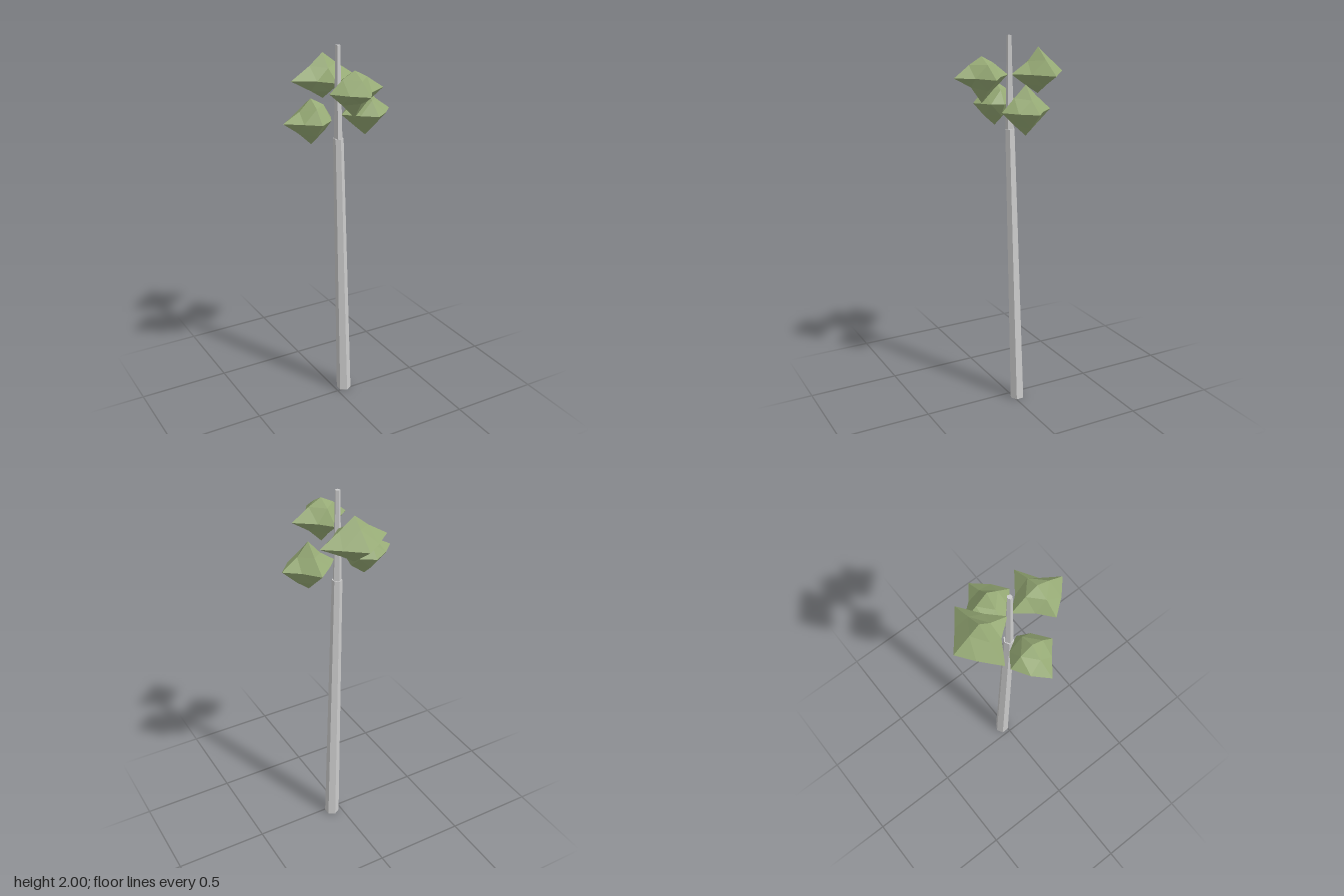
import * as THREE from 'three';

const bark = new THREE.MeshStandardMaterial({ color: 0xcccccc, flatShading: true });
const leaf = new THREE.MeshStandardMaterial({ color: 0x97ab76, flatShading: true });

// Faceted pole whose foot is shifted sideways so that it leans
function pole(name, rTop, rBottom, y0, y1, sides, turn, foot, head) {
  const h = y1 - y0;
  const geo = new THREE.CylinderGeometry(rTop, rBottom, h, sides);
  geo.rotateY(turn).translate(0, (y0 + y1) / 2, 0);
  const p = geo.attributes.position;
  for (let i = 0; i < p.count; i++) {
    const t = (p.getY(i) - y0) / h;
    p.setX(i, p.getX(i) + foot[0] + (head[0] - foot[0]) * t);
    p.setZ(i, p.getZ(i) + foot[1] + (head[1] - foot[1]) * t);
  }
  geo.computeVertexNormals();
  const mesh = new THREE.Mesh(geo, bark);
  mesh.name = name;
  return mesh;
}

// Octahedron split once: tips = reach along +x -x +y -y +z -z,
// mids = offsets of the edge midpoints keyed by their sign pattern
function clump(name, centre, tips, mids) {
  const geo = new THREE.OctahedronGeometry(1, 1);
  const p = geo.attributes.position;
  for (let i = 0; i < p.count; i++) {
    const s = [p.getX(i), p.getY(i), p.getZ(i)].map((v) => (Math.abs(v) < 0.3 ? 0 : Math.sign(v)));
    const key = s.map((v) => '-0+'[v + 1]).join('');
    const axes = [0, 1, 2].filter((k) => s[k] !== 0);
    const v = [0, 0, 0];
    if (axes.length === 1) {
      const k = axes[0];
      v[k] = s[k] * tips[k * 2 + (s[k] < 0 ? 1 : 0)];
    } else {
      const size = mids[key] || [0.068, 0.064];
      axes.forEach((k, n) => { v[k] = s[k] * size[n]; });
    }
    p.setXYZ(i, ...v);
  }
  geo.computeVertexNormals();
  const mesh = new THREE.Mesh(geo, leaf);
  mesh.name = name;
  mesh.position.set(...centre);
  return mesh;
}

export function createModel() {
  const tree = new THREE.Group();
  tree.name = 'tree';

  // Leaning trunk and the slimmer stem above it
  tree.add(pole('trunk', 0.027, 0.04, 0, 1.525, 6, 0, [0.052, -0.022], [0.004, -0.002]));
  tree.add(pole('upperStem', 0.013, 0.023, 1.52, 2, 5, Math.PI, [0.004, -0.002], [0, 0]));

  // Four leaf clumps around the stem
  tree.add(clump('backFoliage', [0.004, 1.805, -0.165], [0.185, 0.182, 0.13, 0.107, 0.155, 0.147], {
    '-0-': [0.085, 0.085], '+0-': [0.1, 0.065], '-0+': [0.068, 0.068], '+0+': [0.075, 0.08],
    '++0': [0.08, 0.07], '-+0': [0.075, 0.068],
    '0++': [0.06, 0.06], '0+-': [0.08, 0.055], '0--': [0.06, 0.065], '0-+': [0.055, 0.08],
  }));
  tree.add(clump('frontFoliage', [0.004, 1.805, 0.158], [0.163, 0.141, 0.1, 0.133, 0.152, 0.148], {
    '-0+': [0.077, 0.082], '+0+': [0.06, 0.063], '-0-': [0.066, 0.062], '+0-': [0.06, 0.077],
    '0++': [0.06, 0.07], '0+-': [0.065, 0.065], '0-+': [0.05, 0.06], '0--': [0.065, 0.07],
  }));
  tree.add(clump('rightFoliage', [-0.157, 1.645, 0.004], [0.114, 0.153, 0.11, 0.125, 0.124, 0.122], {
    '-0-': [0.083, 0.071], '+0-': [0.07, 0.075], '+0+': [0.083, 0.062], '-0+': [0.07, 0.064],
    '-+0': [0.063, 0.05], '++0': [0.072, 0.07], '+-0': [0.077, 0.065], '--0': [0.07, 0.06],
  }));
  tree.add(clump('leftFoliage', [0.165, 1.645, -0.004], [0.144, 0.142, 0.13, 0.125, 0.134, 0.141], {
    '+0-': [0.067, 0.06], '+0+': [0.075, 0.079], '-0+': [0.072, 0.074], '-0-': [0.088, 0.062],
    '-+0': [0.065, 0.055], '++0': [0.06, 0.06], '+-0': [0.062, 0.078], '--0': [0.075, 0.06],
  }));
  return tree;
}
